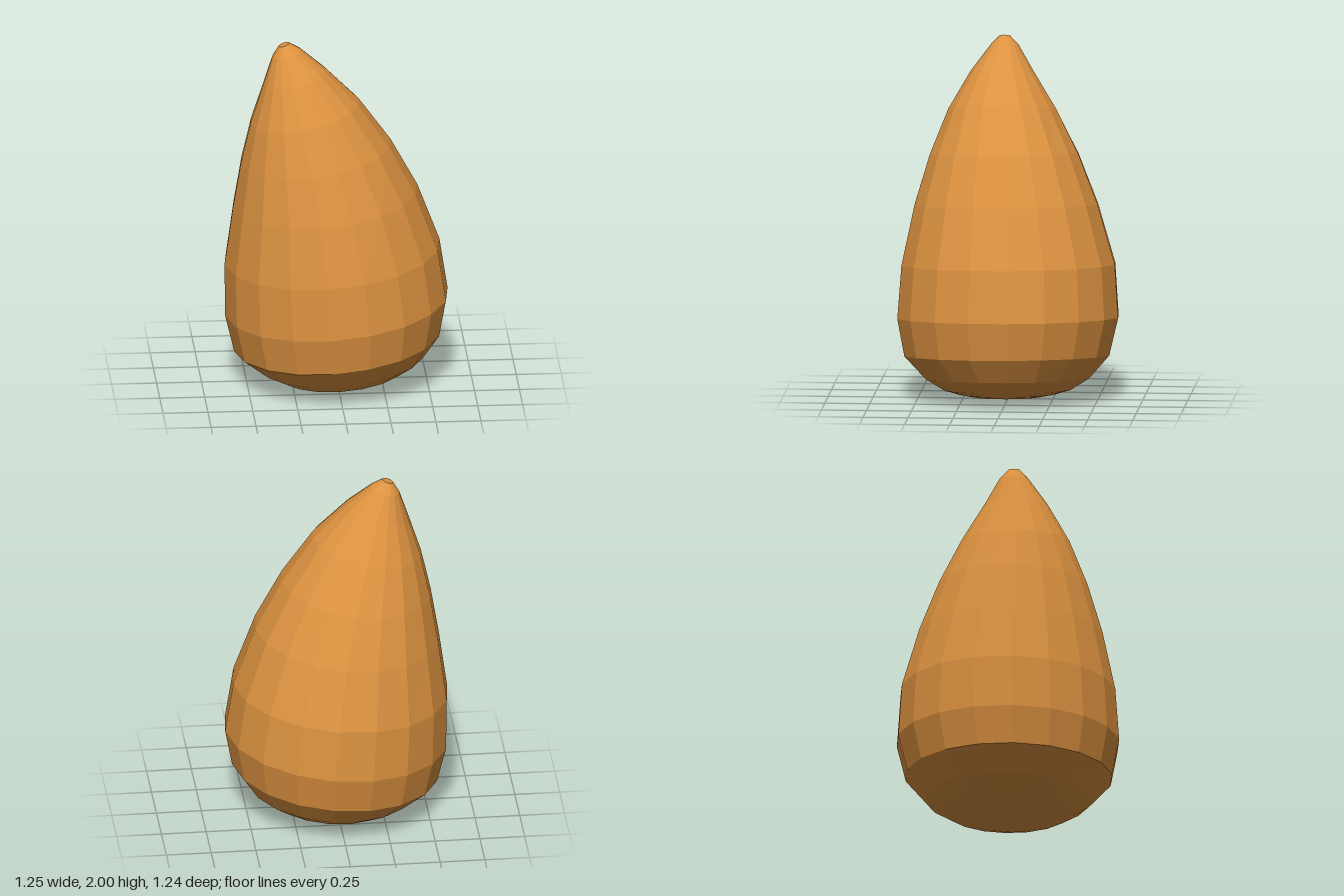
import * as THREE from 'three';

const SIDES = 18;

// Cross-sections from base to tip: centre x, y, z, radius, rise per unit of x
const RINGS = [
  [0.035, 0.014, 0.0, 0.18, 0.078],
  [0.03, 0.03, 0.0, 0.27, 0.075],
  [0.035, 0.055, 0.0, 0.355, 0.085],
  [0.03, 0.12, 0.0, 0.46, 0.087],
  [0.005, 0.245, 0.005, 0.577, 0.093],
  [0.0, 0.455, 0.0, 0.622, 0.09],
  [-0.025, 0.75, 0.0, 0.601, 0.085],
  [-0.065, 1.08, 0.015, 0.516, 0.1],
  [-0.118, 1.355, 0.03, 0.418, 0.13],
  [-0.18, 1.597, 0.045, 0.303, 0.2],
  [-0.235, 1.8, 0.05, 0.177, 0.23],
  [-0.28, 1.94, 0.04, 0.08, 0.26],
  [-0.295, 1.99, 0.04, 0.03, 0.33],
];

// Lofts the tilted rings into a closed, leaning teardrop
function loftGeometry() {
  const positions = [];
  const indices = [];
  for (const [cx, cy, cz, r, slope] of RINGS) {
    for (let i = 0; i < SIDES; i++) {
      const a = ((i * 360 / SIDES - 3.5) * Math.PI) / 180;
      const x = r * Math.cos(a);
      const z = r * Math.sin(a);
      positions.push(cx + x, cy + slope * x - 0.012 * z, cz + z);
    }
  }
  const last = RINGS.length - 1;
  const base = positions.length / 3;
  positions.push(...RINGS[0].slice(0, 3), ...RINGS[last].slice(0, 3));

  for (let i = 0; i < SIDES; i++) {
    const j = (i + 1) % SIDES;
    for (let k = 0; k < last; k++) {
      const a = k * SIDES + i, b = k * SIDES + j;
      const c = a + SIDES, d = b + SIDES;
      indices.push(a, c, b, b, c, d);
    }
    indices.push(base, i, j); // underside
    indices.push(base + 1, last * SIDES + j, last * SIDES + i); // tip
  }
  const indexed = new THREE.BufferGeometry();
  indexed.setAttribute('position', new THREE.Float32BufferAttribute(positions, 3));
  indexed.setIndex(indices);
  const geometry = indexed.toNonIndexed();
  geometry.computeVertexNormals();
  return geometry;
}

export function createModel() {
  const group = new THREE.Group();
  group.name = 'leaningTeardrop';
  const orange = new THREE.MeshStandardMaterial({ color: 0xdc9240 });
  orange.name = 'warmOrange';
  orange.flatShading = true;
  const body = new THREE.Mesh(loftGeometry(), orange);
  body.name = 'body';
  group.add(body);
  return group;
}
